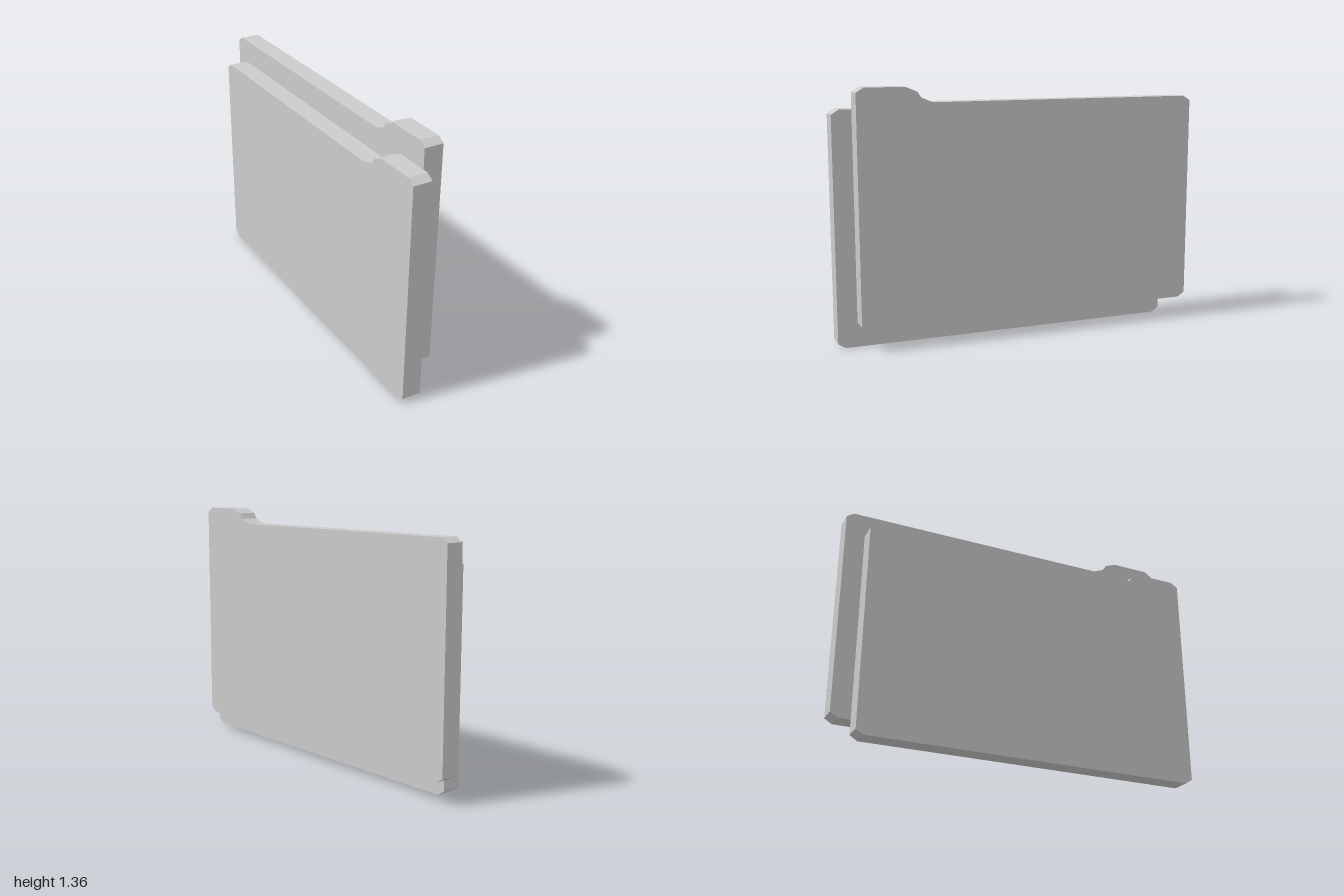
import * as THREE from 'three';

// Tabbed folder outline as [z, y], centred on z and standing on y = 0
const OUTLINE = [
  [0.91, 0], [0.95, 0.025], [0.95, 1.217], [0.91, 1.242],
  [0.697, 1.242], [0.636, 1.217], [0.616, 1.187], [0.555, 1.162],
  [-0.91, 1.162], [-0.95, 1.137], [-0.95, 0.025], [-0.91, 0],
];
const THICKNESS = 0.103;

export function createModel() {
  const group = new THREE.Group();
  group.name = 'folders';
  const material = new THREE.MeshStandardMaterial({ color: 0xcccccc, flatShading: true });

  // Slab with the outline in the zy plane and its thickness along x
  const shape = new THREE.Shape(OUTLINE.map(([z, y]) => new THREE.Vector2(z, y)));
  const geometry = new THREE.ExtrudeGeometry(shape, { depth: THICKNESS, bevelEnabled: false });
  geometry.translate(0, 0, -THICKNESS / 2);
  geometry.rotateY(-Math.PI / 2);

  // Two identical folders, the left one raised and set further back
  const addFolder = (name, x, y, z) => {
    const mesh = new THREE.Mesh(geometry, material);
    mesh.name = name;
    mesh.position.set(x, y, z);
    group.add(mesh);
  };
  addFolder('rightFolder', -0.062, 0, 0.05);
  addFolder('leftFolder', 0.062, 0.113, -0.05);

  return group;
}
